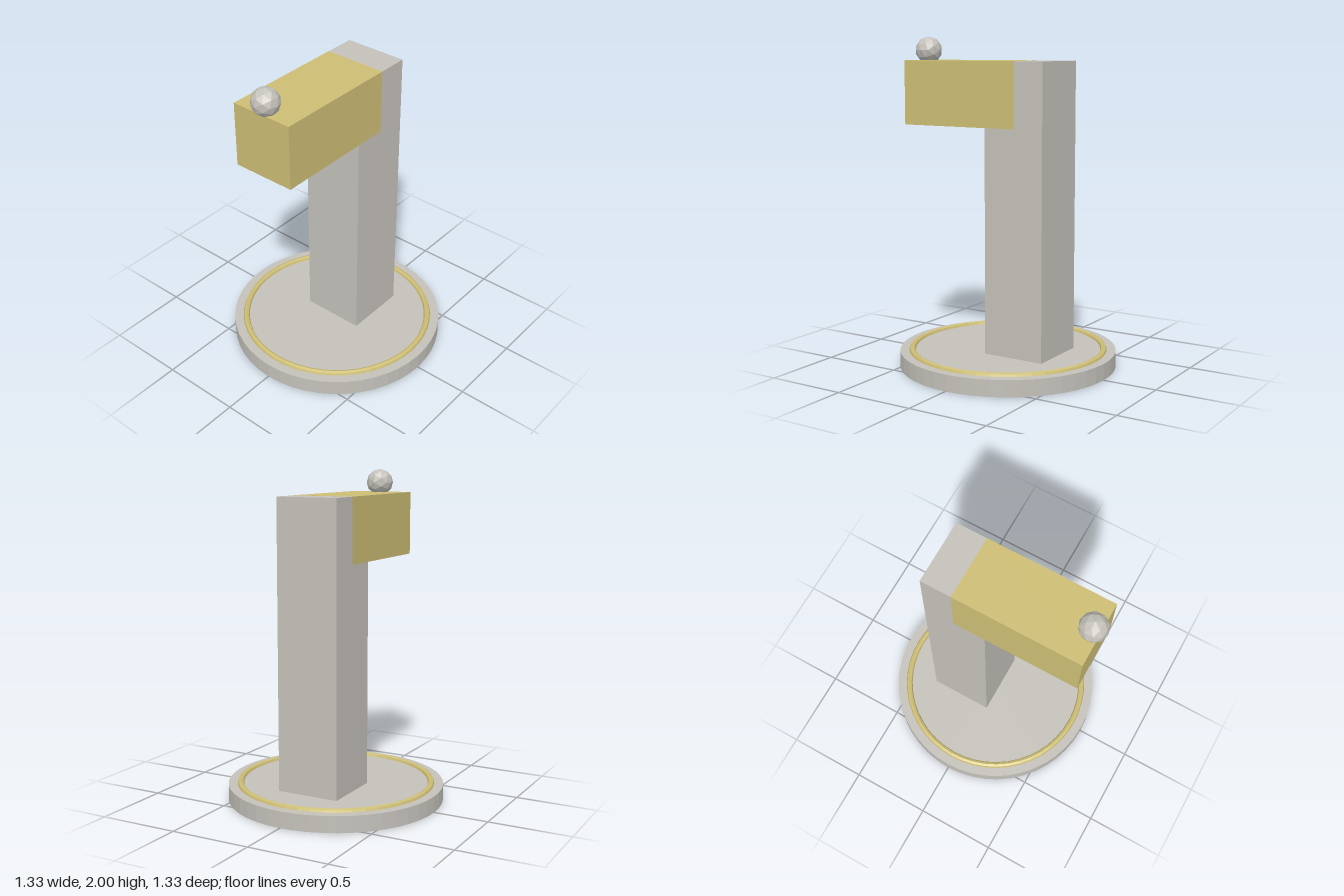
import * as THREE from 'three';

export function createModel() {
  const model = new THREE.Group();
  const stone = new THREE.MeshStandardMaterial({ name: 'stone grey', color: 0xc4c1ba, flatShading: true });
  const gold = new THREE.MeshStandardMaterial({ name: 'pale gold', color: 0xccbd74, flatShading: true });

  function add(name, geometry, material, x, y, z) {
    const mesh = new THREE.Mesh(geometry, material);
    mesh.name = name;
    mesh.position.set(x, y, z);
    model.add(mesh);
    return mesh;
  }

  // Round plinth with a half-sunk gold ring
  add('base', new THREE.CylinderGeometry(0.663, 0.663, 0.1, 48), stone, 0, 0.05, -0.004);
  const ring = add('baseRing', new THREE.TorusGeometry(0.588, 0.02, 8, 48), gold, 0, 0.1, -0.004);
  ring.rotation.x = Math.PI / 2;

  // Square column, with the arm running into its upper half
  add('column', new THREE.BoxGeometry(0.392, 1.755, 0.392), stone, 0, 0.9775, -0.16);
  add('arm', new THREE.BoxGeometry(0.393, 0.391, 0.785), gold, 0, 1.66, 0.2275);

  // Faceted ball resting at the end of the arm
  add('ball', new THREE.IcosahedronGeometry(0.084, 1), stone, 0, 1.916, 0.579);

  return model;
}
